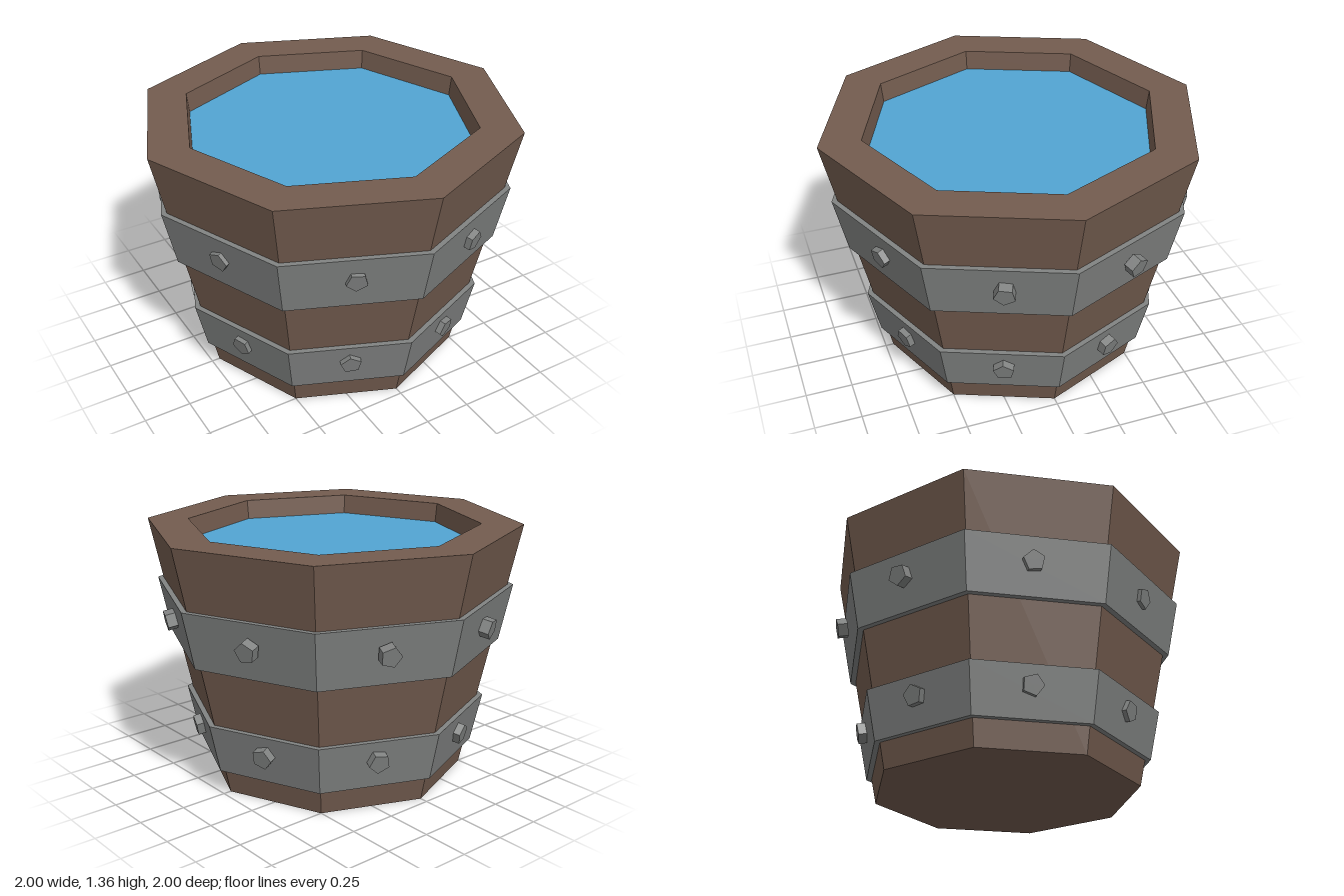
import * as THREE from 'three';

const SIDES = 8;
const material = (color) => new THREE.MeshStandardMaterial({ color, flatShading: true });

// Revolve a profile of [radius, height] pairs into an eight-sided ring or solid
function turned(name, profile, mat) {
  const points = profile.map(([r, y]) => new THREE.Vector2(r, y));
  const mesh = new THREE.Mesh(new THREE.LatheGeometry(points, SIDES), mat);
  mesh.name = name;
  return mesh;
}

export function createModel() {
  const model = new THREE.Group();
  model.name = 'waterBucket';
  const wood = material(0x735c4f);
  const metal = material(0x818382);
  const waterMat = material(0x52a5d3);

  // Wooden tub: closed floor, flared wall, flat rim and inner wall
  model.add(turned('tub', [
    [0, 0], [0.707, 0], [1, 1.355], [0.78, 1.355], [0.765, 1.22],
  ], wood));

  // Water surface just under the rim
  model.add(turned('water', [[0.768, 1.25], [0, 1.25]], waterMat));

  // Metal hoops, each with one stud per face
  const tilt = Math.atan(0.2);
  const hoops = [
    { name: 'upperHoop', y0: 0.725, y1: 1.03, r0: 0.895, r1: 0.96, studY: 0.897, studR: 0.877, dx: 0.017, dz: -0.018 },
    { name: 'lowerHoop', y0: 0.137, y1: 0.4, r0: 0.766, r1: 0.824, studY: 0.295, studR: 0.747, dx: 0.008, dz: -0.006 },
  ];
  const studGeometry = new THREE.CylinderGeometry(0.056, 0.056, 0.055, 5);
  studGeometry.rotateX(Math.PI / 2); // cap faces outward along +z

  hoops.forEach((h, row) => {
    const group = new THREE.Group();
    group.name = h.name;
    group.add(turned('band', [
      [h.r0 - 0.05, h.y0], [h.r0, h.y0], [h.r1, h.y1], [h.r1 - 0.05, h.y1],
    ], metal));

    for (let i = 0; i < SIDES; i++) {
      const angle = ((i + 0.5) / SIDES) * Math.PI * 2;
      const stud = new THREE.Mesh(studGeometry, metal);
      stud.name = 'stud';
      stud.position.set(
        Math.sin(angle) * h.studR + h.dx,
        h.studY,
        Math.cos(angle) * h.studR + h.dz
      );
      // Lean with the flared wall, with a varied turn for each stud
      stud.rotation.set(tilt, angle, Math.PI / 2 + i * 2.1 + row * 0.8, 'YXZ');
      group.add(stud);
    }
    model.add(group);
  });

  return model;
}
